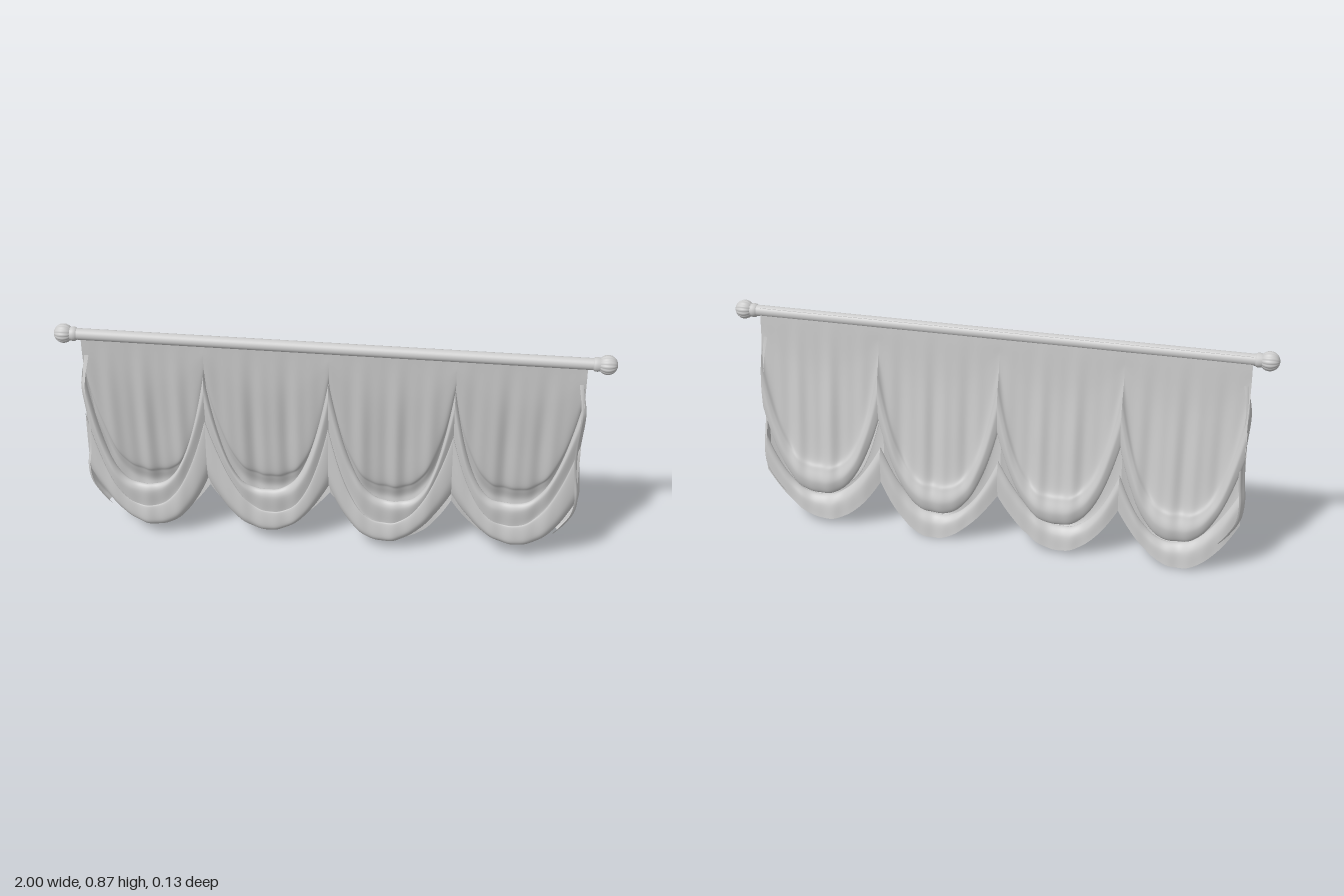
import * as THREE from 'three';

const ROD_Y = 0.834, ROD_Z = 0.033;
const SEAMS = [-0.91, -0.465, -0.01, 0.445, 0.9];
const HEM_LIFT = [0.005, 0.015, 0, 0.025]; // small height difference between swags
const { lerp, smoothstep } = THREE.MathUtils;

// Cloth section from rod to hem: [y, z at panel centre, y, z at gathered seam, sag power]
const SECTION = [
  [0.85, 0.018, 0.85, 0.018, 2.0],
  [0.8, 0.015, 0.8, 0.016, 2.0],
  [0.62, 0.006, 0.76, 0.015, 2.6],
  [0.42, -0.014, 0.71, 0.01, 3.0],
  [0.26, -0.032, 0.67, 0.0, 3.0],
  [0.215, -0.048, 0.62, -0.014, 2.9],
  [0.165, -0.062, 0.55, -0.022, 2.8],
  [0.115, -0.045, 0.46, -0.014, 2.6],
  [0.14, -0.01, 0.58, 0.008, 2.8],
  [0.205, 0.022, 0.69, 0.022, 3.0],
  [0.185, 0.045, 0.62, 0.038, 2.8],
  [0.11, 0.04, 0.48, 0.024, 2.5],
  [0.125, 0.057, 0.5, 0.038, 2.5],
  [0.06, 0.063, 0.32, 0.036, 2.3],
  [0.038, 0.035, 0.25, 0.014, 2.2],
  [0.085, 0.0, 0.34, 0.0, 2.2],
  [0.06, -0.03, 0.3, -0.018, 2.1],
  [0.0, -0.04, 0.2, -0.014, 2.0],
];
const centreCurve = new THREE.CatmullRomCurve3(SECTION.map(r => new THREE.Vector3(r[0], r[1], r[4])), false, 'catmullrom', 0.5);
const seamCurve = new THREE.CatmullRomCurve3(SECTION.map(r => new THREE.Vector3(r[2], r[3], 0)), false, 'catmullrom', 0.5);

// Smooth sheet of nu x nv cells; point(u, v) returns [x, y, z]
function sheet(nu, nv, point) {
  const pos = [], index = [], row = nu + 1;
  for (let j = 0; j <= nv; j++) for (let i = 0; i <= nu; i++) pos.push(...point(i / nu, j / nv));
  for (let j = 0; j < nv; j++) for (let i = 0; i < nu; i++) {
    const a = j * row + i, b = a + row;
    index.push(a, b, a + 1, b, b + 1, a + 1);
  }
  const g = new THREE.BufferGeometry();
  g.setAttribute('position', new THREE.Float32BufferAttribute(pos, 3));
  g.setIndex(index);
  g.computeVertexNormals();
  return g;
}

// One swagged panel between two seams
function panelGeometry(k) {
  return sheet(60, 132, (u, v) => {
    const c = centreCurve.getPoint(v), s = seamCurve.getPoint(v);
    const t = u * 2 - 1;
    const hang = smoothstep(v, 0.04, 0.18);
    // each fold sags a little off centre so the layers cross
    const skew = 0.09 * Math.sin(k * 2.1 + v * 13) * smoothstep(v, 0.3, 0.6);
    const w = Math.pow(Math.abs(t + skew * (1 - t * t)), c.z);
    const x = lerp(SEAMS[k], SEAMS[k + 1], u);
    const y = lerp(c.x, s.x, w) + HEM_LIFT[k] * (1 - w) * hang;
    // soft vertical folds in the sheet, fading into the swags
    const drape = hang * (1 - t * t) * (1 - 0.6 * smoothstep(v, 0.24, 0.4));
    const folds = 0.005 * Math.sin(x * 52 + k) + 0.003 * Math.sin(x * 97 + 2 * k);
    return [x, y, lerp(c.y, s.y, Math.pow(Math.abs(t), 1.8)) + drape * folds];
  });
}

// Gathered outer edge: [y, front z, back z, distance from centre]
const EDGE = [
  [0.74, 0.016, 0.012, 0.897],
  [0.66, 0.038, 0.0, 0.91],
  [0.6, 0.054, -0.01, 0.911],
  [0.48, 0.052, -0.02, 0.902],
  [0.37, 0.047, -0.028, 0.907],
  [0.29, 0.058, -0.034, 0.914],
  [0.22, 0.052, -0.034, 0.906],
  [0.16, 0.045, -0.03, 0.875],
  [0.12, 0.04, -0.028, 0.845],
];
const edgeCurve = new THREE.CatmullRomCurve3(EDGE.map(r => new THREE.Vector3(r[0], r[1], r[2])), false, 'catmullrom', 0.5);
const reachCurve = new THREE.CatmullRomCurve3(EDGE.map(r => new THREE.Vector3(r[3], 0, 0)), false, 'catmullrom', 0.5);

function edgeGeometry(side) {
  return sheet(32, 60, (u, v) => {
    const e = edgeCurve.getPoint(v);
    const arch = Math.sin(Math.PI * u);
    // broad slanting creases run down and backwards across the edge
    const crease = 0.003 * Math.sin(u * 10 - v * 8) * arch * smoothstep(v, 0, 0.2);
    const x = reachCurve.getPoint(v).x - 0.016 * (1 - Math.sqrt(Math.max(arch, 0))) + crease;
    return [side * x - 0.005, e.x, lerp(e.y, e.z, u)];
  });
}

// Ball with shallow flutes running from pole to pole
function flutedBall(r) {
  const g = new THREE.SphereGeometry(r, 96, 24);
  const p = g.attributes.position;
  for (let i = 0; i < p.count; i++) {
    const a = Math.atan2(p.getZ(i), p.getX(i));
    const f = 0.94 + 0.06 * Math.abs(Math.cos(a * 7));
    p.setXYZ(i, p.getX(i) * f, p.getY(i), p.getZ(i) * f);
  }
  g.computeVertexNormals();
  return g;
}

export function createModel() {
  const model = new THREE.Group();
  model.name = 'swaggedCurtain';
  const metal = new THREE.MeshStandardMaterial({ color: 0xcccccc });
  const cloth = new THREE.MeshStandardMaterial({ color: 0xcccccc, side: THREE.DoubleSide });
  const add = (parent, name, geometry, material) => {
    const m = new THREE.Mesh(geometry, material);
    m.name = name;
    parent.add(m);
    return m;
  };

  // Rod
  const rod = add(model, 'rod', new THREE.CylinderGeometry(0.021, 0.021, 1.86, 32), metal);
  rod.rotation.z = Math.PI / 2;
  rod.position.set(0, ROD_Y, ROD_Z);

  // Finials, turned outwards at both ends
  const collar = [[0.02, -0.05], [0.025, -0.044], [0.026, -0.034], [0.022, -0.02]];
  for (const side of [-1, 1]) {
    const finial = new THREE.Group();
    finial.name = side > 0 ? 'leftFinial' : 'rightFinial';
    finial.position.set(side * 0.965, ROD_Y, ROD_Z);
    finial.rotation.z = -side * Math.PI / 2;
    add(finial, 'ball', flutedBall(0.035), metal);
    add(finial, 'collar', new THREE.LatheGeometry(collar.map(p => new THREE.Vector2(...p)), 32), metal);
    model.add(finial);
  }

  // Cloth
  const curtain = new THREE.Group();
  curtain.name = 'curtain';
  for (let k = 0; k < 4; k++) add(curtain, 'swagPanel' + (k + 1), panelGeometry(k), cloth);
  add(curtain, 'leftGather', edgeGeometry(1), cloth);
  add(curtain, 'rightGather', edgeGeometry(-1), cloth);
  model.add(curtain);
  return model;
}
